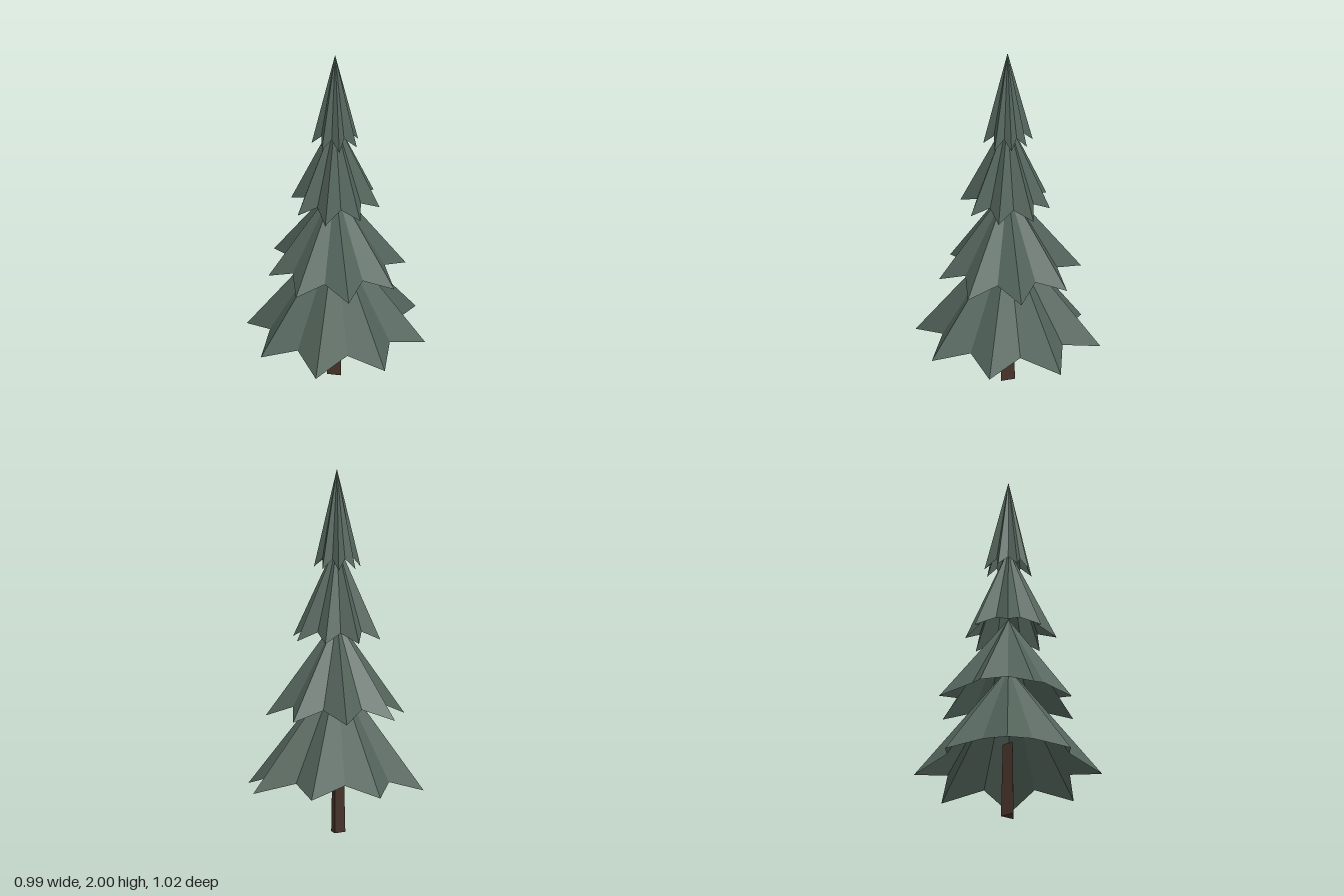
import * as THREE from 'three';

const CX = -0.01; // trunk axis, slightly off centre because the branches are uneven

// Each tier: apex height, tip height, valley height and radius, first tip angle,
// and eight branch tips [x, z] going round from the front towards +x.
const TIERS = [
  { name: 'bottomBranches', apex: 0.89, tipY: 0.25, valleyY: 0.31, valleyR: 0.36, start: 0,
    tips: [[-0.01, 0.51], [0.34, 0.35], [0.49, 0], [0.36, -0.37], [-0.01, -0.515], [-0.35, -0.34], [-0.5, 0], [-0.35, 0.345]] },
  { name: 'lowerBranches', apex: 1.18, tipY: 0.65, valleyY: 0.71, valleyR: 0.275, start: Math.PI / 8,
    tips: [[0.14, 0.35], [0.35, 0.148], [0.35, -0.15], [0.137, -0.36], [-0.17, -0.375], [-0.38, -0.15], [-0.35, 0.145], [-0.155, 0.347]] },
  { name: 'upperBranches', apex: 1.6, tipY: 1.07, valleyY: 1.12, valleyR: 0.17, start: 0,
    tips: [[-0.01, 0.262], [0.165, 0.168], [0.237, 0], [0.165, -0.18], [-0.01, -0.235], [-0.185, -0.18], [-0.255, 0], [-0.18, 0.18]] },
  { name: 'topBranches', apex: 2, tipY: 1.46, valleyY: 1.515, valleyR: 0.09, start: Math.PI / 8,
    tips: [[0.04, 0.125], [0.12, 0.046], [0.108, -0.046], [0.04, -0.117], [-0.057, -0.13], [-0.13, -0.055], [-0.13, 0.05], [-0.06, 0.11]] },
];

// Hollow star-shaped cone: tips and valleys alternate round the rim
function starCone({ apex, tipY, valleyY, valleyR, start, tips }) {
  const rim = [];
  tips.forEach(([x, z], i) => {
    const a = start + (i + 0.5) * Math.PI / 4;
    rim.push([x, tipY, z]);
    rim.push([CX + valleyR * Math.sin(a), valleyY, valleyR * Math.cos(a)]);
  });
  const positions = [];
  rim.forEach((p, i) => {
    positions.push(CX, apex, 0, ...p, ...rim[(i + 1) % rim.length]);
  });
  const geometry = new THREE.BufferGeometry();
  geometry.setAttribute('position', new THREE.Float32BufferAttribute(positions, 3));
  geometry.computeVertexNormals();
  return geometry;
}

export function createModel() {
  const group = new THREE.Group();
  group.name = 'pineTree';

  const needles = new THREE.MeshStandardMaterial({ color: 0x53645b, flatShading: true, side: THREE.DoubleSide });
  needles.name = 'needleGreen';
  const bark = new THREE.MeshStandardMaterial({ color: 0x46332a, flatShading: true });
  bark.name = 'barkBrown';

  // Three-sided trunk with a flat face to the front
  const trunk = new THREE.Mesh(new THREE.CylinderGeometry(0.036, 0.046, 0.43, 3), bark);
  trunk.name = 'trunk';
  trunk.rotation.y = Math.PI;
  trunk.position.set(CX, 0.215, 0.005);
  group.add(trunk);

  // Four stacked tiers of branches
  for (const tier of TIERS) {
    const mesh = new THREE.Mesh(starCone(tier), needles);
    mesh.name = tier.name;
    group.add(mesh);
  }
  return group;
}
